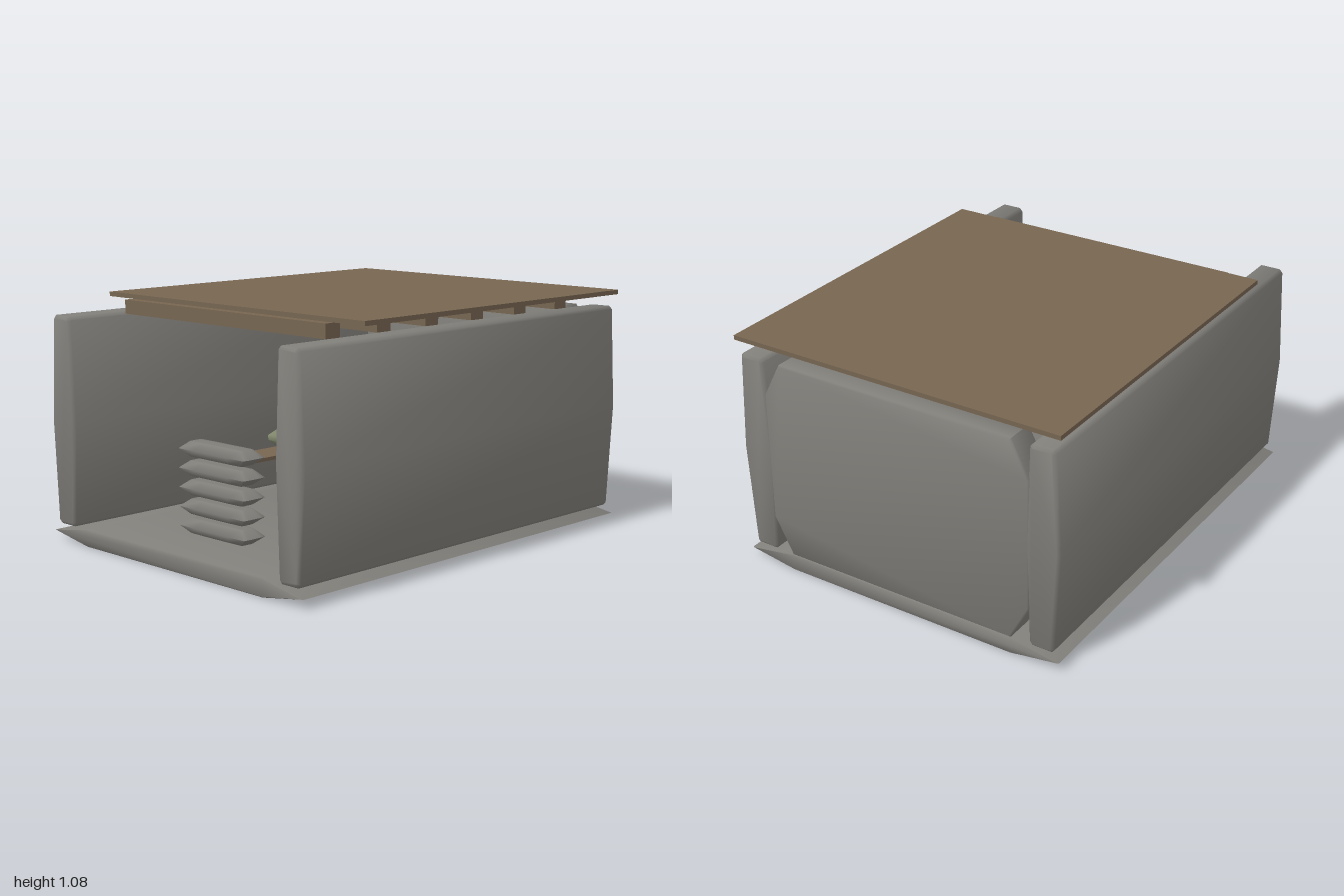
import * as THREE from 'three';
import { toCreasedNormals } from 'three/addons/utils/BufferGeometryUtils.js';

const mat = (color) => new THREE.MeshStandardMaterial({ color });
const STONE = mat(0x807e79), WOOD = mat(0x766550), SAGE = mat(0x7f866b);
const RED = mat(0xa05c4e), GREEN = mat(0x6b9078), TIN = mat(0xa3a39e), BLACK = mat(0x24282a);

export function createModel() {
  const root = new THREE.Group();

  const add = (name, geo, material, x = 0, y = 0, z = 0, parent = root) => {
    const m = new THREE.Mesh(geo, material);
    m.name = name;
    m.position.set(x, y, z);
    parent.add(m);
  };
  const box = (name, x0, x1, y0, y1, z0, z1, parent = root) =>
    add(name, new THREE.BoxGeometry(x1 - x0, y1 - y0, z1 - z0), WOOD,
      (x0 + x1) / 2, (y0 + y1) / 2, (z0 + z1) / 2, parent);
  const group = (name) => {
    const g = new THREE.Group();
    g.name = name;
    root.add(g);
    return g;
  };
  // Outline in x,y pushed along z with small chamfers, softly shaded
  const prism = (points, z0, z1, bevel) => {
    const shape = new THREE.Shape(points.map(([x, y]) => new THREE.Vector2(x, y)));
    const geo = new THREE.ExtrudeGeometry(shape, {
      depth: z1 - z0 - 2 * bevel, bevelThickness: bevel,
      bevelSize: bevel, bevelOffset: -bevel, bevelSegments: 1,
    });
    geo.translate(0, 0, z0 + bevel);
    return toCreasedNormals(geo, 1.0);
  };
  // Pillow-like slab: a box whose top and bottom are drawn in
  const slab = (w, h, d, edge, rows) => {
    const geo = new THREE.BoxGeometry(w, h, d, 4, rows, 4);
    const p = geo.attributes.position;
    const ez = Math.min(edge, d * 0.22);
    for (let i = 0; i < p.count; i++) {
      const inset = Math.abs(p.getY(i)) > h * 0.4 ? 1 : 0;
      const corner = Math.abs(p.getX(i)) > w * 0.49 && Math.abs(p.getZ(i)) > d * 0.49 ? 0.15 : 0;
      p.setX(i, p.getX(i) * (1 - (2 * inset + corner) * edge / w));
      p.setZ(i, p.getZ(i) * (1 - (2 * inset + corner) * ez / d));
    }
    return toCreasedNormals(geo, 1.5);
  };

  // Floor slab with tapered side edges
  add('floor', prism([[-0.79, 0.043], [-0.56, 0.005], [0.56, 0.005], [0.79, 0.043],
    [0.56, 0.083], [-0.56, 0.083]], -1, 1, 0.004), STONE);

  // Side walls, slightly bowed at mid height with chamfered corners
  const wall = [[0.66, 0.077], [0.75, 0.077], [0.764, 0.092], [0.79, 0.55], [0.768, 0.99],
    [0.754, 1.005], [0.662, 1.005], [0.648, 0.99], [0.63, 0.55], [0.648, 0.092]];
  for (const side of [1, -1]) {
    const pts = wall.map(([x, y]) => [x * side, y]);
    if (side < 0) pts.reverse();
    add(side > 0 ? 'leftWall' : 'rightWall', prism(pts, -1, 1, 0.014), STONE);
  }

  // Back wall with clipped corners
  add('backWall', prism([[-0.56, 0.08], [0.56, 0.08], [0.65, 0.25], [0.65, 0.84],
    [0.565, 1.0], [-0.565, 1.0], [-0.65, 0.84], [-0.65, 0.25]], -1, -0.86, 0.008), STONE);

  // Roof board on six cross beams
  box('roof', -0.79, 0.79, 1.06, 1.08, -1, 0.665);
  for (let i = 0; i < 6; i++) {
    const z = 0.67 - i * 0.292;
    box('roofBeam', -0.623, 0.623, 0.998, 1.06, z - 0.04, z + 0.04);
  }

  // Long benches along both side walls
  for (const side of [1, -1]) {
    const g = group(side > 0 ? 'leftBench' : 'rightBench');
    const c = 0.52 * side;
    box('benchTop', c - 0.083, c + 0.083, 0.263, 0.28, -0.66, 0.215, g);
    for (const z of [0.19, -0.22, -0.64]) {
      box('benchLeg', c - 0.078, c + 0.078, 0.083, 0.263, z - 0.015, z + 0.015, g);
    }
  }
  add('cushion', slab(0.285, 0.075, 0.2, 0.026, 3), SAGE, -0.48, 0.326, -0.24);

  // Two stacks of stone slabs
  for (const z of [0.71, -0.37]) {
    const g = group('slabStack');
    for (let i = 0; i < 5; i++) {
      add('stackSlab', slab(0.415, 0.066, 0.125, 0.044, 2), STONE, 0, 0.125 + i * 0.084, z, g);
    }
  }

  // Small table near the back
  const table = group('table');
  box('tableTop', -0.115, 0.115, 0.325, 0.345, -0.75, -0.52, table);
  box('tableBody', -0.105, 0.105, 0.083, 0.325, -0.74, -0.53, table);

  // Shelf with a row of tins and two sticks
  const shelf = group('shelf');
  box('shelfBoard', -0.29, 0.29, 0.617, 0.633, -0.87, -0.77, shelf);
  [RED, TIN, GREEN, RED, TIN, GREEN].forEach((m, i) => {
    add('tin', new THREE.CylinderGeometry(0.013, 0.013, 0.04, 16), m,
      -0.253 + i * 0.092, 0.653, -0.82, shelf);
  });
  for (const x of [0.185, 0.255]) {
    add('stick', new THREE.CylinderGeometry(0.003, 0.003, 0.05, 8), STONE, x, 0.658, -0.8, shelf);
  }

  // Lantern with a ring handle
  const lantern = group('lantern');
  lantern.position.set(0.413, 0, -0.24);
  const profile = (pts) => new THREE.LatheGeometry(pts.map(([x, y]) => new THREE.Vector2(x, y)), 20);
  add('lanternBase', profile([[0, 0.29], [0.027, 0.29], [0.029, 0.305], [0.02, 0.325], [0, 0.325]]),
    STONE, 0, 0, 0, lantern);
  add('lanternBody', profile([[0, 0.323], [0.018, 0.323], [0.025, 0.345], [0.024, 0.365],
    [0.016, 0.38], [0.02, 0.395], [0.012, 0.408], [0, 0.41]]), BLACK, 0, 0, 0, lantern);
  add('lanternHandle', new THREE.TorusGeometry(0.02, 0.003, 8, 24), STONE, 0, 0.405, 0, lantern);

  return root;
}
